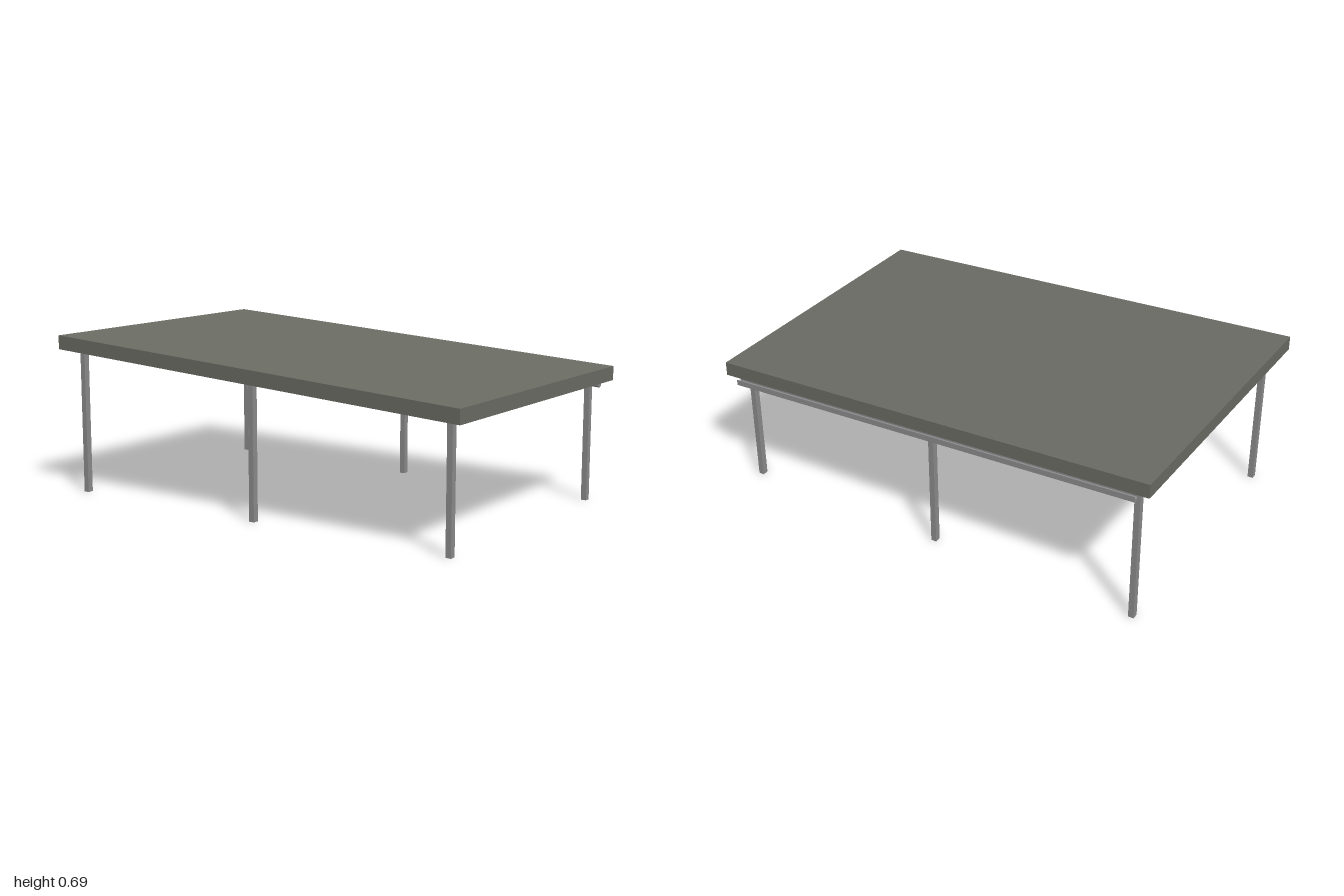
import * as THREE from 'three';

const SLOPE = 0.0575;          // roof drops toward the front
const MID = 0.633;             // roof top height at z = 0
const roofY = z => MID - SLOPE * z;

// Shift each vertex vertically so the part follows the roof pitch
function pitch(geo) {
  const p = geo.attributes.position;
  for (let i = 0; i < p.count; i++) p.setY(i, p.getY(i) + roofY(p.getZ(i)));
  geo.computeVertexNormals();
  return geo;
}

// Box given by its limits, heights measured from the roof top
function pitchedBox(x0, x1, y0, y1, z0, z1) {
  const g = new THREE.BoxGeometry(x1 - x0, y1 - y0, z1 - z0);
  g.translate((x0 + x1) / 2, (y0 + y1) / 2, (z0 + z1) / 2);
  return pitch(g);
}

export function createModel() {
  const group = new THREE.Group();
  const roofMat = new THREE.MeshStandardMaterial({ color: 0x6b6c64 });
  roofMat.name = 'roof grey';
  const steelMat = new THREE.MeshStandardMaterial({ color: 0x8c8c8e });
  steelMat.name = 'steel grey';

  const add = (name, geo, mat) => {
    const m = new THREE.Mesh(geo, mat);
    m.name = name;
    group.add(m);
  };

  // Thin roof sheet with a fascia skirt, open underneath
  const L = -0.637, R = 0.632, H = -0.06, T = 0.005;
  add('roofSheet', pitchedBox(L, R, -T, 0, -1, 1), roofMat);
  add('frontFascia', pitchedBox(L, R, H, -T, 1 - T, 1), roofMat);
  add('backFascia', pitchedBox(L, R, H, -T, -1, -1 + T), roofMat);
  add('rightFascia', pitchedBox(L, L + T, H, -T, -1 + T, 1 - T), roofMat);
  add('leftFascia', pitchedBox(R - T, R, H, -T, -1 + T, 1 - T), roofMat);

  // Beams under the sheet, each on three posts
  for (const x of [-0.562, 0.557]) {
    add('beam', pitchedBox(x - 0.012, x + 0.012, -0.036, -T, -0.934, 0.934), steelMat);
    for (const z of [-0.922, 0, 0.922]) {
      const top = roofY(z) - 0.034;
      const g = new THREE.BoxGeometry(0.026, top, 0.024);
      g.translate(x, top / 2, z);
      add('post', g, steelMat);
    }
  }

  // Gutter: angular open channel along the left eave
  const s = new THREE.Shape([
    [-0.0125, -0.069], [-0.0125, -0.093], [0, -0.1], [0.0125, -0.093], [0.0125, -0.069],
    [0.0095, -0.069], [0.0095, -0.08], [0, -0.086], [-0.0095, -0.08], [-0.0095, -0.069],
  ].map(([x, y]) => new THREE.Vector2(x, y)));
  const gutter = new THREE.ExtrudeGeometry(s, { depth: 1.885, bevelEnabled: false });
  gutter.translate(0.6235, 0, -0.942);
  add('gutter', pitch(gutter), steelMat);

  return group;
}
